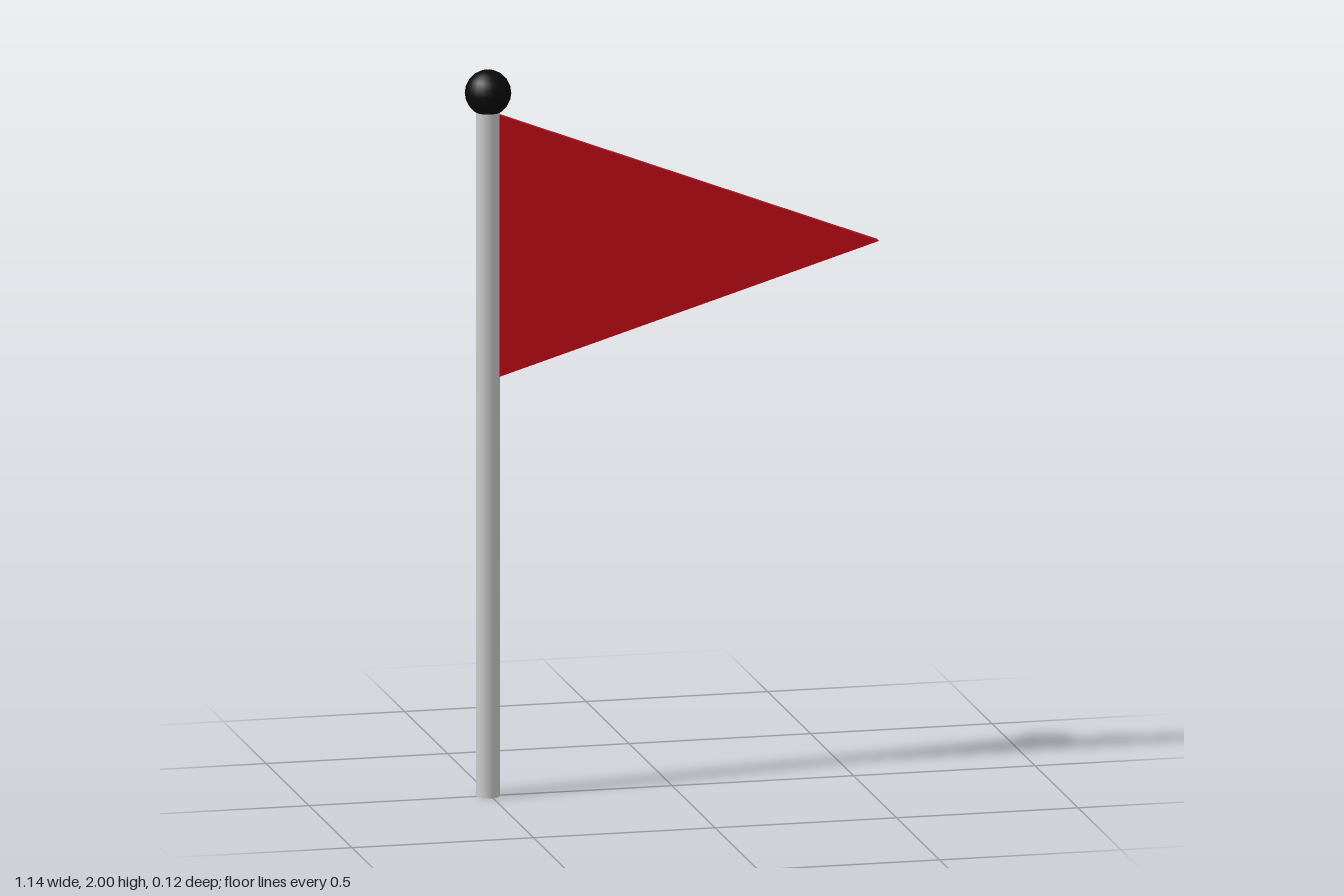
import * as THREE from 'three';

export function createModel() {
  const model = new THREE.Group();
  const poleX = -0.507, poleR = 0.032, poleTop = 1.89, ballR = 0.0625, thickness = 0.024;

  const add = (name, geometry, color, x, y, z) => {
    const mesh = new THREE.Mesh(geometry, new THREE.MeshStandardMaterial({ color }));
    mesh.name = name;
    mesh.position.set(x, y, z);
    model.add(mesh);
  };

  // Upright pole
  add('pole', new THREE.CylinderGeometry(poleR, poleR, poleTop, 24), 0xcccccc, poleX, poleTop / 2, 0);

  // Ball on top of the pole
  add('finial', new THREE.SphereGeometry(ballR, 24, 10), 0x0a0a0a, poleX, 2 - ballR, 0);

  // Triangular pennant, a thin slab starting at the side of the pole
  const outline = new THREE.Shape([
    new THREE.Vector2(-0.48, 1.155),
    new THREE.Vector2(0.568, 1.473),
    new THREE.Vector2(-0.48, 1.877),
  ]);
  const slab = new THREE.ExtrudeGeometry(outline, { depth: thickness, bevelEnabled: false });
  add('pennant', slab, 0xcc0d18, 0, 0, -thickness / 2);

  return model;
}
